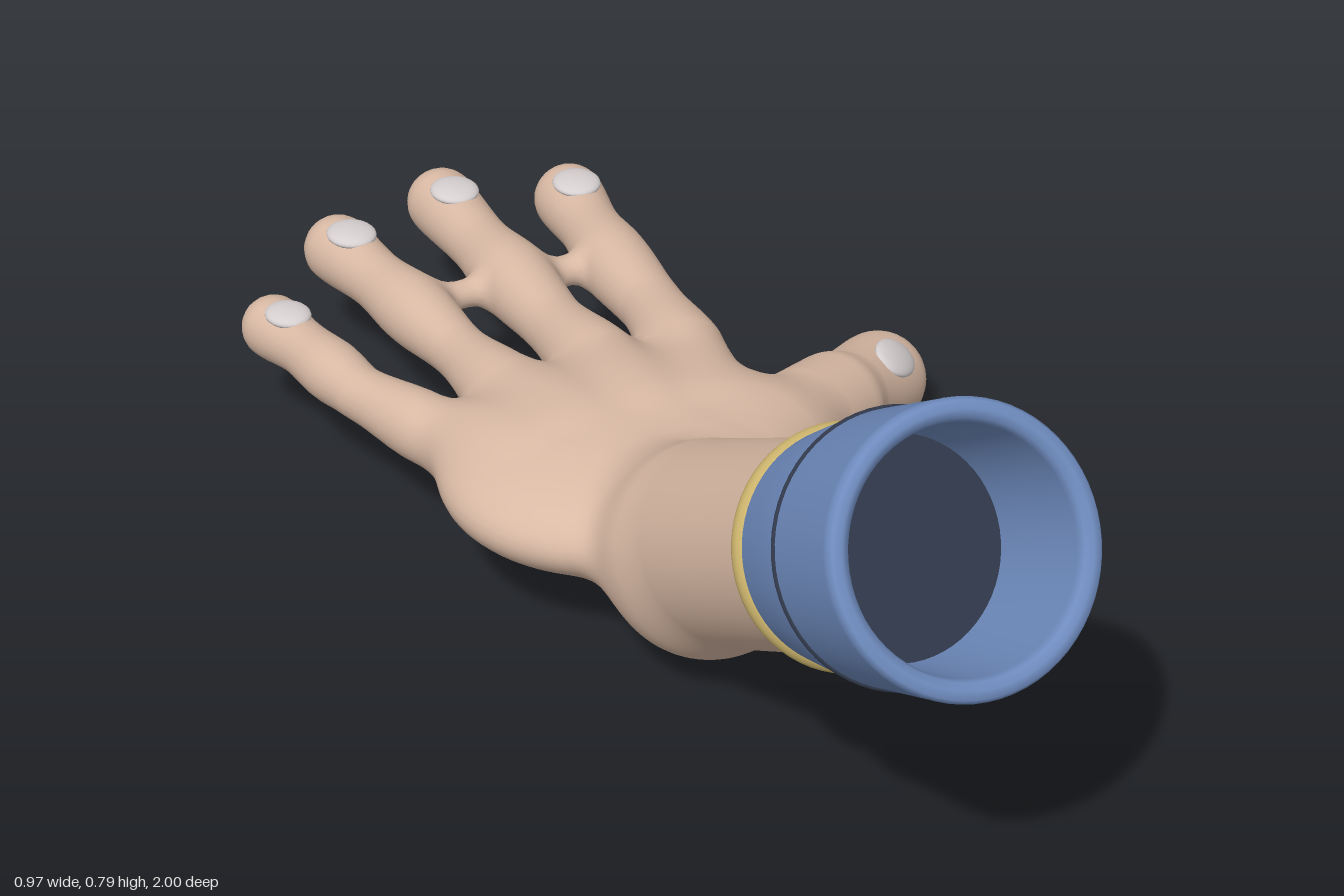
import * as THREE from 'three';

const mat = (name, color) => new THREE.MeshStandardMaterial({ name, color });
const ARM_X = -0.135;

// Bones: chains of [x, y, z, radius] that are blended into one smooth skin
const ARM = [[ARM_X, 0.433, 0.56, 0.148], [ARM_X, 0.225, 0.2, 0.15]];
const HEEL = [[ARM_X, 0.178, 0.17, 0.132], [ARM_X, 0.175, 0.08, 0.115]];
const FINGERS = {
  little: [[-0.27, 0.185, -0.14, 0.08], [-0.35, 0.185, -0.33, 0.055], [-0.398, 0.185, -0.47, 0.043],
    [-0.41, 0.185, -0.55, 0.049], [-0.422, 0.185, -0.63, 0.044], [-0.437, 0.182, -0.718, 0.051]],
  ring: [[-0.19, 0.195, -0.14, 0.08], [-0.21, 0.2, -0.34, 0.062], [-0.217, 0.192, -0.5, 0.045],
    [-0.226, 0.19, -0.65, 0.057], [-0.24, 0.19, -0.76, 0.048], [-0.254, 0.188, -0.885, 0.056]],
  middle: [[-0.07, 0.2, -0.14, 0.085], [-0.055, 0.205, -0.34, 0.066], [-0.054, 0.195, -0.5, 0.051],
    [-0.048, 0.192, -0.66, 0.062], [-0.047, 0.19, -0.79, 0.05], [-0.045, 0.19, -0.943, 0.057]],
  index: [[0.03, 0.195, -0.12, 0.08], [0.083, 0.2, -0.32, 0.064], [0.107, 0.193, -0.48, 0.051],
    [0.118, 0.19, -0.64, 0.06], [0.132, 0.19, -0.75, 0.05], [0.147, 0.188, -0.86, 0.058]],
};
const THUMB = [[-0.02, 0.175, 0.02, 0.1], [0.09, 0.165, -0.06, 0.1], [0.2, 0.145, -0.145, 0.082],
  [0.27, 0.128, -0.187, 0.082], [0.32, 0.113, -0.222, 0.071], [0.408, 0.079, -0.287, 0.077]];
// Thin webs joining the finger knuckles
const WEBS = [[[-0.226, 0.19, -0.66, 0.022], [-0.05, 0.19, -0.66, 0.022]],
  [[-0.05, 0.19, -0.65, 0.022], [0.118, 0.19, -0.65, 0.022]]];

// Distance to a chain of segments whose radius swells and narrows smoothly
function chainDistance(chain, x, y, z) {
  let best = Infinity;
  for (let i = 0; i + 1 < chain.length; i++) {
    const a = chain[i], b = chain[i + 1];
    const bx = b[0] - a[0], by = b[1] - a[1], bz = b[2] - a[2];
    const px = x - a[0], py = y - a[1], pz = z - a[2];
    let h = (px * bx + py * by + pz * bz) / (bx * bx + by * by + bz * bz);
    h = Math.min(1, Math.max(0, h));
    const r = a[3] + (b[3] - a[3]) * h * h * (3 - 2 * h);
    const dx = px - bx * h, dy = py - by * h, dz = pz - bz * h;
    best = Math.min(best, Math.sqrt(dx * dx + dy * dy + dz * dz) - r);
  }
  return best;
}

function blend(a, b, k) {
  const h = Math.max(k - Math.abs(a - b), 0) / k;
  return Math.min(a, b) - h * h * k * 0.25;
}

function palmDistance(x, y, z) {
  const px = (x + 0.15) / 0.265, py = (y - 0.19) / 0.1, pz = (z + 0.1) / 0.255;
  const k0 = Math.hypot(px, py, pz);
  const k1 = Math.hypot(px / 0.265, py / 0.1, pz / 0.255);
  return k1 < 1e-6 ? -0.1 : k0 * (k0 - 1) / k1;
}

const fingerChains = Object.values(FINGERS);
function handDistance(x, y, z) {
  let d = blend(palmDistance(x, y, z), chainDistance(HEEL, x, y, z), 0.06);
  d = blend(d, chainDistance(ARM, x, y, z), 0.07);
  for (const f of fingerChains) d = blend(d, chainDistance(f, x, y, z), 0.045);
  d = blend(d, chainDistance(THUMB, x, y, z), 0.06);
  for (const w of WEBS) d = blend(d, chainDistance(w, x, y, z), 0.03);
  return d;
}

// Wraps a quad mesh around the zero surface of a distance function
function skinGeometry(f, min, max, step) {
  const n = min.map((m, i) => Math.ceil((max[i] - m) / step) + 1);
  const stride = [1, n[0], n[0] * n[1]];
  const val = new Float32Array(n[0] * n[1] * n[2]);
  const cell = new Int32Array(val.length).fill(-1);
  const eachPoint = (size, fn) => {
    for (let k = 0; k < size[2]; k++)
      for (let j = 0; j < size[1]; j++)
        for (let i = 0; i < size[0]; i++) fn([i, j, k], i + j * stride[1] + k * stride[2]);
  };
  eachPoint(n, (p, id) => {
    val[id] = f(min[0] + p[0] * step, min[1] + p[1] * step, min[2] + p[2] * step);
  });
  const gradient = (x, y, z) => {
    const e = 0.003;
    return new THREE.Vector3(f(x + e, y, z) - f(x - e, y, z), f(x, y + e, z) - f(x, y - e, z),
      f(x, y, z + e) - f(x, y, z - e)).normalize();
  };
  const positions = [], normals = [], index = [];
  // One vertex in each cell that the surface crosses
  eachPoint(n.map((v) => v - 1), (p, id) => {
    const sum = [0, 0, 0];
    let count = 0;
    for (let c = 0; c < 8; c++) {
      const corner = [c & 1, (c >> 1) & 1, c >> 2];
      const v0 = val[id + corner[0] + corner[1] * stride[1] + corner[2] * stride[2]];
      for (let a = 0; a < 3; a++) {
        if (corner[a]) continue;
        const v1 = val[id + corner[0] + corner[1] * stride[1] + corner[2] * stride[2] + stride[a]];
        if ((v0 < 0) === (v1 < 0)) continue;
        for (let b = 0; b < 3; b++) sum[b] += corner[b] + (a === b ? v0 / (v0 - v1) : 0);
        count++;
      }
    }
    if (!count) return;
    const v = new THREE.Vector3(...p.map((q, b) => min[b] + (q + sum[b] / count) * step));
    v.addScaledVector(gradient(v.x, v.y, v.z), -0.7 * f(v.x, v.y, v.z));
    cell[id] = positions.length / 3;
    positions.push(v.x, v.y, v.z);
    normals.push(...gradient(v.x, v.y, v.z).toArray());
  });
  // One quad around each crossed grid edge
  eachPoint(n.map((v) => v - 1), (p, id) => {
    for (let a = 0; a < 3; a++) {
      const inside = val[id] < 0;
      if (inside === (val[id + stride[a]] < 0)) continue;
      const b = stride[(a + 1) % 3], c = stride[(a + 2) % 3];
      const q = [cell[id - b - c], cell[id - c], cell[id], cell[id - b]];
      if (!inside) q.reverse();
      index.push(q[0], q[1], q[2], q[0], q[2], q[3]);
    }
  });
  const g = new THREE.BufferGeometry();
  g.setAttribute('position', new THREE.Float32BufferAttribute(positions, 3));
  g.setAttribute('normal', new THREE.Float32BufferAttribute(normals, 3));
  g.setIndex(index);
  return g;
}

export function createModel() {
  const model = new THREE.Group();
  model.name = 'hand';
  const skin = mat('skin', 0xd8b9a4), blue = mat('sleeveBlue', 0x6f8cbf);
  const gold = mat('gold', 0xcbb36c), dark = mat('darkNavy', 0x30384a), nailMat = mat('nail', 0xd6cfcf);
  const add = (parent, name, geometry, material) => {
    const mesh = new THREE.Mesh(geometry, material);
    mesh.name = name;
    parent.add(mesh);
    return mesh;
  };

  // Arm, palm, fingers and thumb as one skin
  add(model, 'handSkin', skinGeometry(handDistance, [-0.54, -0.05, -1.05], [0.54, 0.66, 0.76], 0.0125), skin);

  // Nails: thin domes lying on the skin, pointing along their finger
  const addNail = (name, x, y, z, dir, up, w, l) => {
    const d = new THREE.Vector3(...dir).normalize();
    const u = new THREE.Vector3(...up).addScaledVector(d, -d.dot(new THREE.Vector3(...up))).normalize();
    const p = new THREE.Vector3(x, y, z);
    // Slide outwards from the bone to the skin
    for (let i = 0; i < 20; i++) p.addScaledVector(u, -handDistance(p.x, p.y, p.z));
    p.addScaledVector(u, -0.005);
    const nail = add(model, name, new THREE.SphereGeometry(1, 24, 14), nailMat);
    nail.scale.set(w, 0.013, l);
    nail.quaternion.setFromRotationMatrix(new THREE.Matrix4().makeBasis(u.clone().cross(d), u, d));
    nail.position.copy(p);
  };
  for (const [name, chain] of Object.entries(FINGERS)) {
    const a = chain[4], b = chain[5], t = name === 'little' ? 0.5 : 0.64;
    const at = [0, 1, 2].map((i) => a[i] + (b[i] - a[i]) * t);
    const w = name === 'little' ? 0.035 : 0.039;
    addNail(name + 'Nail', at[0], at[1] + 0.03, at[2], [b[0] - a[0], 0, b[2] - a[2]], [0, 1, 0], w, w + 0.005);
  }
  addNail('thumbNail', 0.385, 0.115, -0.25, [0.79, -0.3, -0.56], [0.3, 0.78, 0.5], 0.036, 0.05);

  // Sleeve cuff, tilted along the arm
  const sleeve = new THREE.Group();
  sleeve.name = 'sleeve';
  sleeve.position.set(ARM_X, 0.45, 0.59);
  sleeve.rotation.x = Math.PI / 3;
  model.add(sleeve);
  const profile = [[0.13, 0], [0.16, 0], [0.163, 0.008], [0.175, 0.085], [0.186, 0.167], [0.196, 0.34], [0.197, 0.352],
    [0.192, 0.36], [0.18, 0.363], [0.169, 0.358], [0.164, 0.345], [0.152, 0.15]];
  add(sleeve, 'cuff', new THREE.LatheGeometry(profile.map((p) => new THREE.Vector2(...p)), 64), blue);
  add(sleeve, 'cuffInside', new THREE.CircleGeometry(0.155, 64).rotateX(-Math.PI / 2), dark).position.y = 0.153;
  add(sleeve, 'cuffSeam', new THREE.TorusGeometry(0.186, 0.004, 8, 64).rotateX(Math.PI / 2), dark).position.y = 0.167;
  add(sleeve, 'goldBand', new THREE.TorusGeometry(0.15, 0.021, 16, 64).rotateX(Math.PI / 2), gold);
  return model;
}
